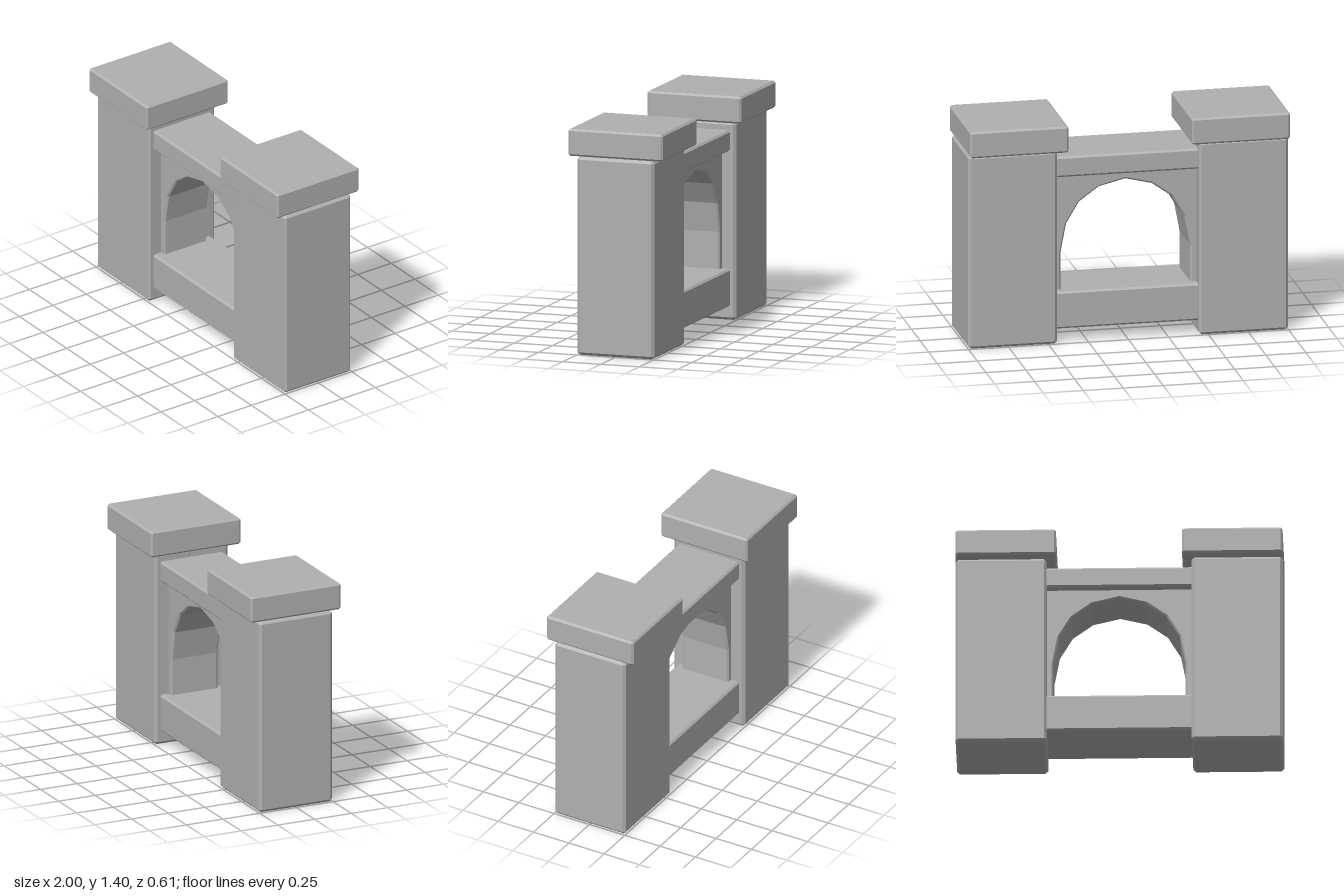
import * as THREE from 'three';
import { ConvexGeometry } from 'three/addons/geometries/ConvexGeometry.js';

// Box with all edges chamfered by b, given by its min and max corners
function chamferBox(min, max, b) {
  const lo = new THREE.Vector3(...min), hi = new THREE.Vector3(...max);
  const c = lo.clone().add(hi).multiplyScalar(0.5);
  const h = hi.clone().sub(lo).multiplyScalar(0.5);
  const pts = [];
  for (const sx of [-1, 1]) for (const sy of [-1, 1]) for (const sz of [-1, 1]) {
    for (let axis = 0; axis < 3; axis++) {
      const d = [b, b, b];
      d[axis] = 0;
      pts.push(new THREE.Vector3(
        c.x + sx * (h.x - d[0]), c.y + sy * (h.y - d[1]), c.z + sz * (h.z - d[2])));
    }
  }
  return new ConvexGeometry(pts);
}

export function createModel() {
  const model = new THREE.Group();
  model.name = 'archGate';
  const stone = new THREE.MeshStandardMaterial({ color: 0xb0b0b0, flatShading: true });
  stone.name = 'grey stone';

  const add = (name, geometry) => {
    const mesh = new THREE.Mesh(geometry, stone);
    mesh.name = name;
    model.add(mesh);
  };

  // Pillars with overhanging caps, flush on their outer sides
  for (const [side, s] of [['left', 1], ['right', -1]]) {
    const block = (x0, x1, y0, y1, z, b) => chamferBox(
      [Math.min(s * x0, s * x1), y0, -z], [Math.max(s * x0, s * x1), y1, z], b);
    add(side + 'Pillar', block(0.443, 1, 0, 1.23, 0.25, 0.017));
    add(side + 'Cap', block(0.385, 1, 1.232, 1.4, 0.307, 0.012));
  }

  // Horizontal beams above and below the opening
  add('lintel', chamferBox([-0.47, 1.05, -0.215], [0.47, 1.18, 0.215], 0.012));
  add('sill', chamferBox([-0.47, 0.085, -0.215], [0.47, 0.32, 0.215], 0.012));

  // Arch wall between the pillars, its legs running down into the sill
  const half = [[0.405, 0.2], [0.405, 0.55], [0.37, 0.735], [0.29, 0.87], [0.165, 0.96]];
  const outline = [
    [-0.48, 0.2], ...half.map(([x, y]) => [-x, y]), [0, 1],
    ...half.slice().reverse(), [0.48, 0.2], [0.48, 1.12], [-0.48, 1.12],
  ].map(([x, y]) => new THREE.Vector2(x, y));
  const b = 0.01, depth = 0.32;
  const wall = new THREE.ExtrudeGeometry(new THREE.Shape(outline), {
    depth: depth - 2 * b, bevelEnabled: true, bevelThickness: b,
    bevelSize: b, bevelOffset: -b, bevelSegments: 1,
  });
  wall.translate(0, 0, -depth / 2 + b);
  add('archWall', wall);

  return model;
}
